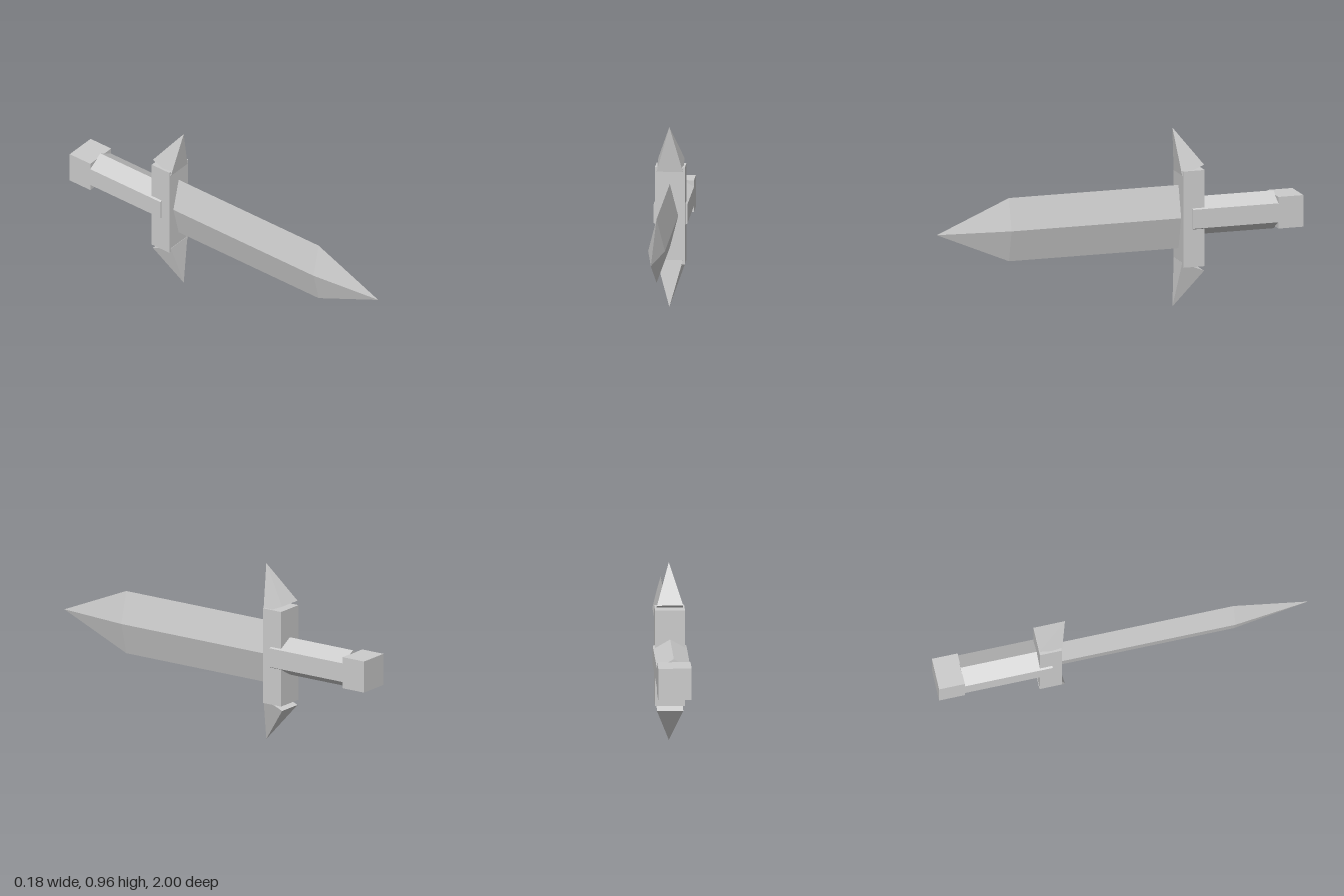
import * as THREE from 'three';
import { ConvexGeometry } from 'three/addons/geometries/ConvexGeometry.js';

const MID = 0.484; // height of the sword's long axis

export function createModel() {
  const group = new THREE.Group();
  const steel = new THREE.MeshStandardMaterial({ color: 0xcccccc });
  steel.name = 'steel grey';

  // adds a faceted part, positioned relative to the long axis
  function add(name, geometry, z = 0) {
    const flat = geometry.index ? geometry.toNonIndexed() : geometry;
    flat.computeVertexNormals();
    const mesh = new THREE.Mesh(flat, steel);
    mesh.name = name;
    mesh.position.set(0, MID, z);
    group.add(mesh);
  }

  // blade: diamond section tapering to a point
  const bladeLength = 1.0, tipLength = 0.4;
  const body = new THREE.CylinderGeometry(1, 1, bladeLength, 4);
  const tip = new THREE.ConeGeometry(1, tipLength, 4, 1, true);
  for (const g of [body, tip]) g.rotateX(Math.PI / 2).scale(0.044, 0.17, 1);
  add('blade', body, 0.6 - bladeLength / 2);
  add('bladeTip', tip, 0.6 + tipLength / 2);

  // guard block
  add('guard', new THREE.BoxGeometry(0.157, 0.517, 0.118), -0.398);

  // forward-leaning spikes above and below the guard
  for (const s of [1, -1]) {
    const points = [new THREE.Vector3(0, s * 0.481, -0.305)];
    for (const x of [-0.069, 0.069]) {
      points.push(new THREE.Vector3(x, s * 0.235, -0.336), new THREE.Vector3(x, s * 0.285, -0.457));
    }
    add(s > 0 ? 'upperSpike' : 'lowerSpike', new ConvexGeometry(points));
  }

  // hexagonal grip and block pommel
  add('grip', new THREE.CylinderGeometry(0.102, 0.102, 0.475, 6).rotateX(Math.PI / 2), -0.6275);
  add('pommel', new THREE.BoxGeometry(0.175, 0.17, 0.138), -0.931);

  return group;
}
